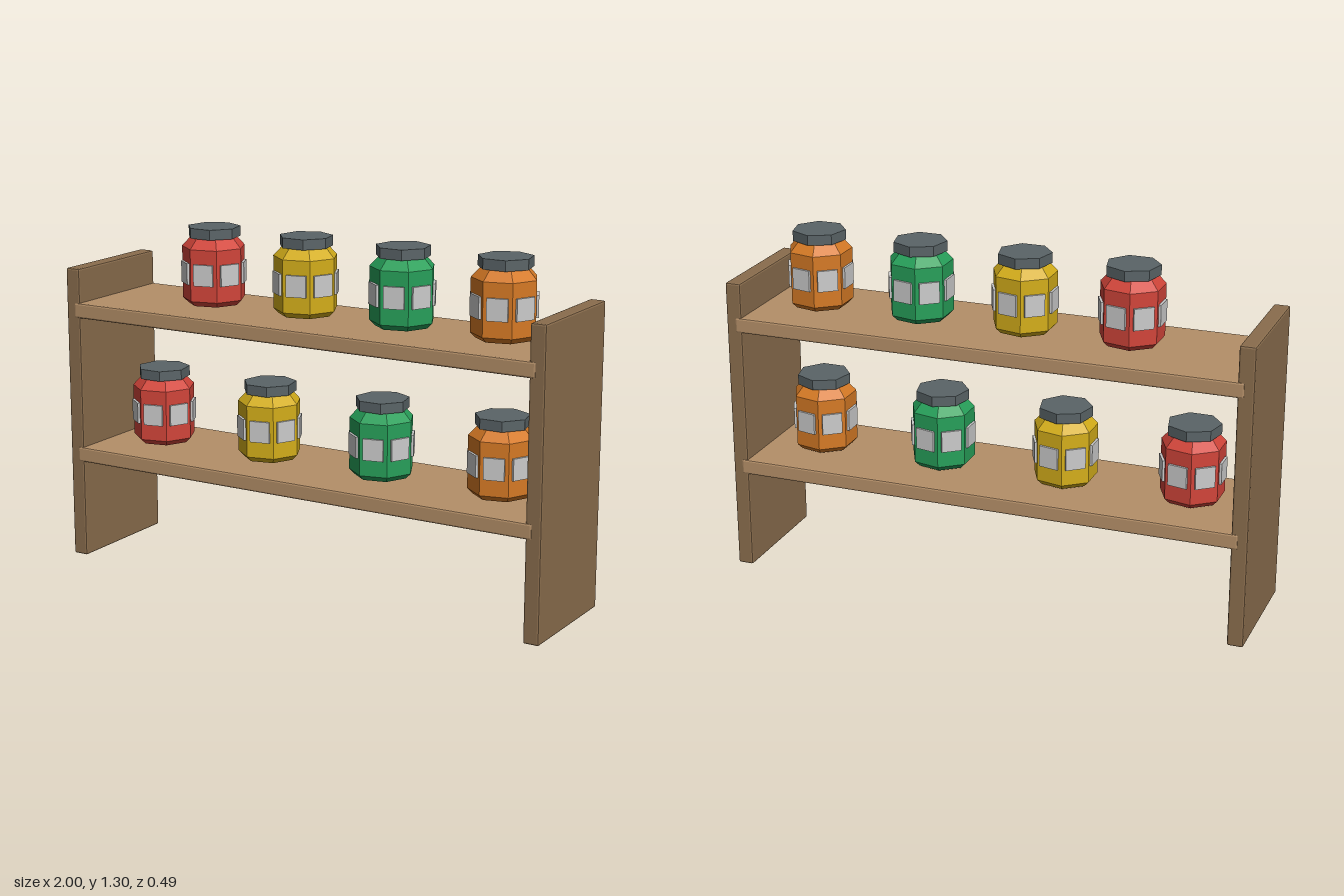
import * as THREE from 'three';
import { RoundedBoxGeometry } from 'three/addons/geometries/RoundedBoxGeometry.js';

const SIDES = 7;
const mat = (color) => new THREE.MeshStandardMaterial({ color, flatShading: true });

function addMesh(parent, name, geometry, material, x = 0, y = 0, z = 0) {
  const mesh = new THREE.Mesh(geometry, material);
  mesh.name = name;
  mesh.position.set(x, y, z);
  parent.add(mesh);
  return mesh;
}

export function createModel() {
  const root = new THREE.Group();
  root.name = 'jarShelf';

  const panelMat = mat(0x8a6d4d);
  const shelfMat = mat(0xb48f68);
  const lidMat = mat(0x5a6467);
  const labelMat = mat(0xdcdcdc);
  const jarMats = [0xd2453a, 0xd4ae1a, 0x27a05a, 0xd67a25].map(mat);

  // Upright side panels with slim bevels
  const panelGeo = new RoundedBoxGeometry(0.06, 1.13, 0.48, 1, 0.007);
  addMesh(root, 'leftPanel', panelGeo, panelMat, 0.97, 0.565, 0);
  addMesh(root, 'rightPanel', panelGeo, panelMat, -0.97, 0.565, 0);

  // Two boards let into the panels
  const shelfGeo = new RoundedBoxGeometry(1.93, 0.058, 0.486, 1, 0.007);
  addMesh(root, 'upperShelf', shelfGeo, shelfMat, 0, 0.97, 0);
  addMesh(root, 'lowerShelf', shelfGeo, shelfMat, 0, 0.406, 0);

  // Jar parts: seven-sided body, lid and one label plate per face
  const profile = [[0, 0], [0.1, 0], [0.12, 0.02], [0.12, 0.215], [0.084, 0.254], [0, 0.254]]
    .map(([r, y]) => new THREE.Vector2(r, y));
  const bodyGeo = new THREE.LatheGeometry(profile, SIDES, Math.PI / 2);
  const lidGeo = new THREE.CylinderGeometry(0.1, 0.1, 0.038, SIDES, 1, false, Math.PI);
  const labelGeo = new THREE.BoxGeometry(0.076, 0.08, 0.012);

  function addJar(name, material, x, y) {
    const jar = new THREE.Group();
    jar.name = name;
    jar.position.set(x, y, 0);
    addMesh(jar, 'jarBody', bodyGeo, material);
    addMesh(jar, 'lid', lidGeo, lidMat, 0, 0.271, 0);
    for (let i = 0; i < SIDES; i++) {
      const a = Math.PI / 2 + ((i + 0.5) * 2 * Math.PI) / SIDES;
      const label = addMesh(jar, 'label', labelGeo, labelMat, Math.sin(a) * 0.111, 0.121, Math.cos(a) * 0.111);
      label.rotation.y = a;
    }
    root.add(jar);
  }

  // Four jars on each board
  jarMats.forEach((m, i) => {
    addJar('upperJar', m, -0.487 + i * 0.4047, 1.009);
    addJar('lowerJar', m, -0.728 + i * 0.485, 0.444);
  });

  return root;
}
